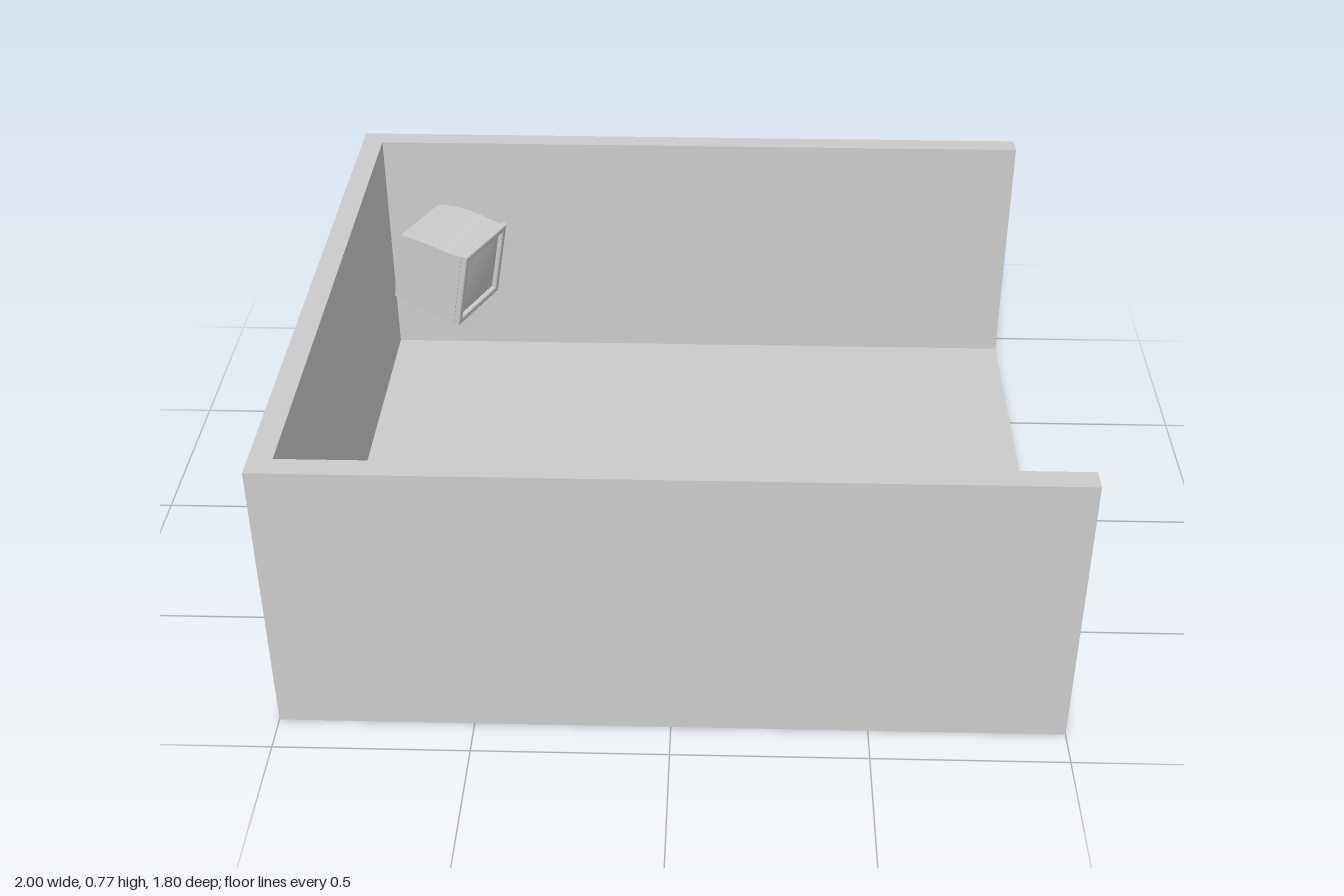
import * as THREE from 'three';

const material = new THREE.MeshStandardMaterial({ color: 0xcccccc });

function add(parent, name, geometry, x = 0, y = 0, z = 0) {
  const mesh = new THREE.Mesh(geometry, material);
  mesh.name = name;
  mesh.position.set(x, y, z);
  parent.add(mesh);
  return mesh;
}

// Linear interpolation through evenly spaced values, t from 0 to 1
function sample(values, t) {
  const f = t * (values.length - 1);
  const i = Math.min(Math.floor(f), values.length - 2);
  return THREE.MathUtils.lerp(values[i], values[i + 1], f - i);
}

function rectangle(PathType, w, h) {
  return new PathType([[-w, -h], [w, -h], [w, h], [-w, h]].map(([x, y]) => new THREE.Vector2(x / 2, y / 2)));
}

// Room shell: floor and three walls, open towards +x
function createRoom() {
  const room = new THREE.Group();
  room.name = 'room';
  const t = 0.06, height = 0.775, depth = 1.8;
  add(room, 'floor', new THREE.BoxGeometry(2, t, depth), 0, t / 2, 0);
  const wallH = height - t, wallY = t + wallH / 2;
  add(room, 'endWall', new THREE.BoxGeometry(t, wallH, depth), -1 + t / 2, wallY, 0);
  for (const side of [-1, 1]) {
    add(room, side < 0 ? 'backWall' : 'frontWall',
      new THREE.BoxGeometry(2 - t, wallH, t), t / 2, wallY, side * (depth - t) / 2);
  }
  return room;
}

// Small boxy television, front face at local z = 0
function createTelevision() {
  const tv = new THREE.Group();
  tv.name = 'television';
  const width = 0.24, height = 0.25, depth = 0.236, rim = 0.02;

  // Casing: a box whose sides bulge slightly and whose top dips to the back
  const casing = new THREE.BoxGeometry(1, 1, 1, 1, 1, 10);
  const halfWidths = [0.117, 0.12, 0.121, 0.12, 0.116, 0.11];
  const tops = [0.119, 0.117, 0.118, 0.116, 0.111, 0.1];
  const p = casing.attributes.position;
  for (let i = 0; i < p.count; i++) {
    const t = 0.5 - p.getZ(i);
    p.setXYZ(i,
      Math.sign(p.getX(i)) * sample(halfWidths, t),
      p.getY(i) > 0 ? sample(tops, t) : -0.125 + 0.004 * (1 - t),
      -rim - t * (depth - rim));
  }
  casing.computeVertexNormals();
  add(tv, 'casing', casing);

  // Bevelled frame around the screen
  const bevel = 0.005;
  const outline = rectangle(THREE.Shape, width - 2 * bevel, height - 2 * bevel);
  outline.holes.push(rectangle(THREE.Path, width - 0.034, height - 0.034));
  const frame = new THREE.ExtrudeGeometry(outline, {
    depth: rim - 2 * bevel, bevelThickness: bevel, bevelSize: bevel, bevelSegments: 2,
  });
  add(tv, 'screenFrame', frame, 0, 0, -rim + bevel);

  // Slightly domed screen
  const screen = new THREE.PlaneGeometry(0.21, 0.22, 8, 8);
  const s = screen.attributes.position;
  for (let i = 0; i < s.count; i++) {
    const u = s.getX(i) / 0.105, v = s.getY(i) / 0.11;
    s.setZ(i, 0.006 * (1 - u * u) * (1 - v * v));
  }
  screen.computeVertexNormals();
  add(tv, 'screen', screen, 0, 0, -0.014);

  // Column of small knobs beside the screen
  for (let i = 0; i < 5; i++) {
    const knob = add(tv, 'knob', new THREE.CylinderGeometry(0.004, 0.004, 0.008, 10), -0.095, 0.08 - i * 0.03, -0.008);
    knob.rotation.x = Math.PI / 2;
  }

  // Turned into the room and tilted down
  tv.position.set(-0.62, 0.455, -0.59);
  tv.rotation.set(0.18, 1.15, 0, 'YXZ');
  return tv;
}

export function createModel() {
  const model = new THREE.Group();
  model.name = 'roomWithTelevision';
  model.add(createRoom(), createTelevision());
  return model;
}
